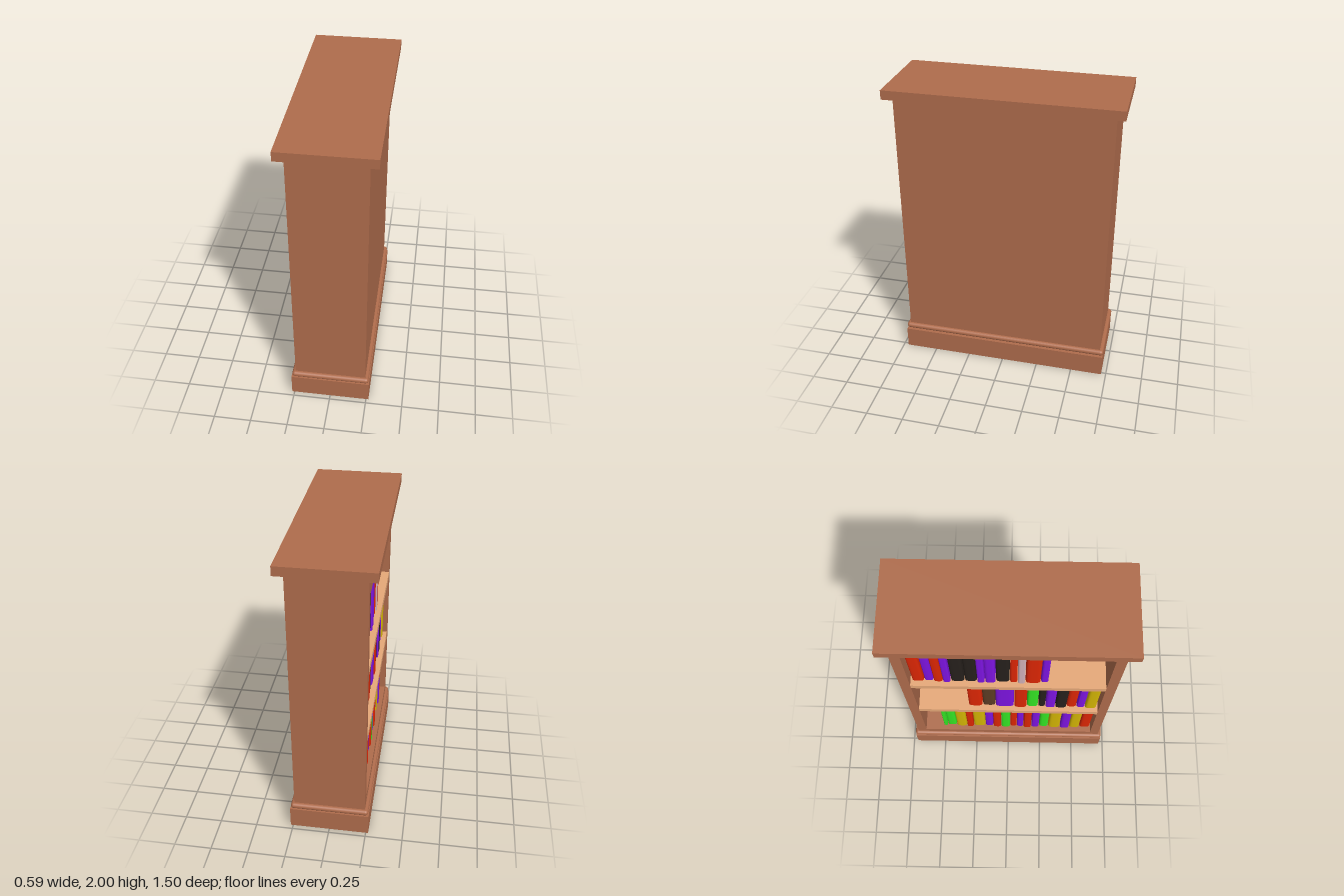
import * as THREE from 'three';
import { toCreasedNormals } from 'three/addons/utils/BufferGeometryUtils.js';
import { RoundedBoxGeometry } from 'three/addons/geometries/RoundedBoxGeometry.js';

const makeMaterial = (name, color) => {
  const m = new THREE.MeshStandardMaterial({ color });
  m.name = name;
  return m;
};

export function createModel() {
  const wood = makeMaterial('case wood', 0xaf6c4c);
  const tan = makeMaterial('shelf wood', 0xe6a878);
  const covers = {
    r: makeMaterial('red cover', 0xdc2604),
    p: makeMaterial('purple cover', 0x7d14e0),
    g: makeMaterial('green cover', 0x34e424),
    y: makeMaterial('yellow cover', 0xd2b404),
    k: makeMaterial('black cover', 0x26201c),
    b: makeMaterial('brown cover', 0x5c3c24),
    w: makeMaterial('pale cover', 0xd0b0b8),
  };

  const model = new THREE.Group();
  model.name = 'bookcase';
  const add = (parent, name, geometry, material, x, y, z) => {
    const mesh = new THREE.Mesh(geometry, material);
    mesh.name = name;
    mesh.position.set(x, y, z);
    parent.add(mesh);
  };
  // Box given by its limits along each axis
  const slab = (name, material, [x0, x1], [y0, y1], [z0, z1]) =>
    add(model, name, new THREE.BoxGeometry(x1 - x0, y1 - y0, z1 - z0), material,
      (x0 + x1) / 2, (y0 + y1) / 2, (z0 + z1) / 2);

  // Carcass, open towards -x
  const inner = 0.63;
  slab('plinth', wood, [-0.267, 0.267], [0, 0.15], [-0.717, 0.717]);
  add(model, 'baseMoulding', new RoundedBoxGeometry(0.525, 0.04, 1.44, 4, 0.02), wood, 0, 0.175, 0);
  slab('cornice', wood, [-0.295, 0.295], [1.94, 2], [-0.75, 0.75]);
  slab('backPanel', wood, [0.2, 0.24], [0.15, 1.94], [-inner, inner]);
  slab('bottomBoard', wood, [-0.24, 0.2], [0.15, 0.25], [-inner, inner]);
  slab('header', wood, [-0.24, 0.2], [1.81, 1.94], [-inner, inner]);
  slab('leftSidePanel', wood, [-0.24, 0.24], [0.15, 1.94], [inner, 0.695]);
  slab('rightSidePanel', wood, [-0.24, 0.24], [0.15, 1.94], [-0.695, -inner]);

  // Shelves
  for (const top of [0.775, 1.29]) {
    slab('shelf', tan, [-0.24, 0.2], [top - 0.05, top], [-inner, inner]);
  }

  // Book: plan outline with a rounded spine, extruded upwards
  const bookGeometry = (thickness, height, depth) => {
    const h = thickness / 2;
    const bulge = Math.min(0.02, h * 0.6);
    const plan = new THREE.Shape();
    plan.moveTo(depth, -h);
    plan.lineTo(depth, h);
    plan.lineTo(bulge, h);
    plan.bezierCurveTo(0, h, 0, h * 0.7, 0, 0);
    plan.bezierCurveTo(0, -h * 0.7, 0, -h, bulge, -h);
    plan.closePath();
    const g = new THREE.ExtrudeGeometry(plan, { depth: height, bevelEnabled: false, curveSegments: 5 });
    g.rotateX(-Math.PI / 2);
    return toCreasedNormals(g, 0.7);
  };

  // Rows: cover letter followed by thickness in hundredths
  const rows = [
    { name: 'bottomRow', y: 0.25, z: -0.495, height: 0.43,
      books: 'g3 g7 y8 r5 y9 p6 r6 g7 r5 p5 r6 p6 g7 y9 p7 y8 r8' },
    { name: 'middleRow', y: 0.775, z: -0.28, height: 0.43,
      books: 'r10 b9 p13 r9 g8 k5 p7 k8 r7 p6 y8' },
    { name: 'upperRow', y: 1.29, z: -0.62, height: 0.5,
      books: 'r8 p6 r6 p5 k9 k8 p5 p7 k9 r5 w5 r10 p5' },
  ];
  for (const row of rows) {
    const group = new THREE.Group();
    group.name = row.name;
    model.add(group);
    let z = row.z;
    row.books.split(' ').forEach((code, i) => {
      const width = Number(code.slice(1)) / 100;
      const height = row.height + 0.01 * Math.sin(i * 2.3);
      const front = -0.205 + 0.006 * Math.sin(i * 1.7);
      add(group, 'book', bookGeometry(width - 0.004, height, 0.33), covers[code[0]],
        front, row.y, z + width / 2);
      z += width;
    });
  }
  return model;
}
